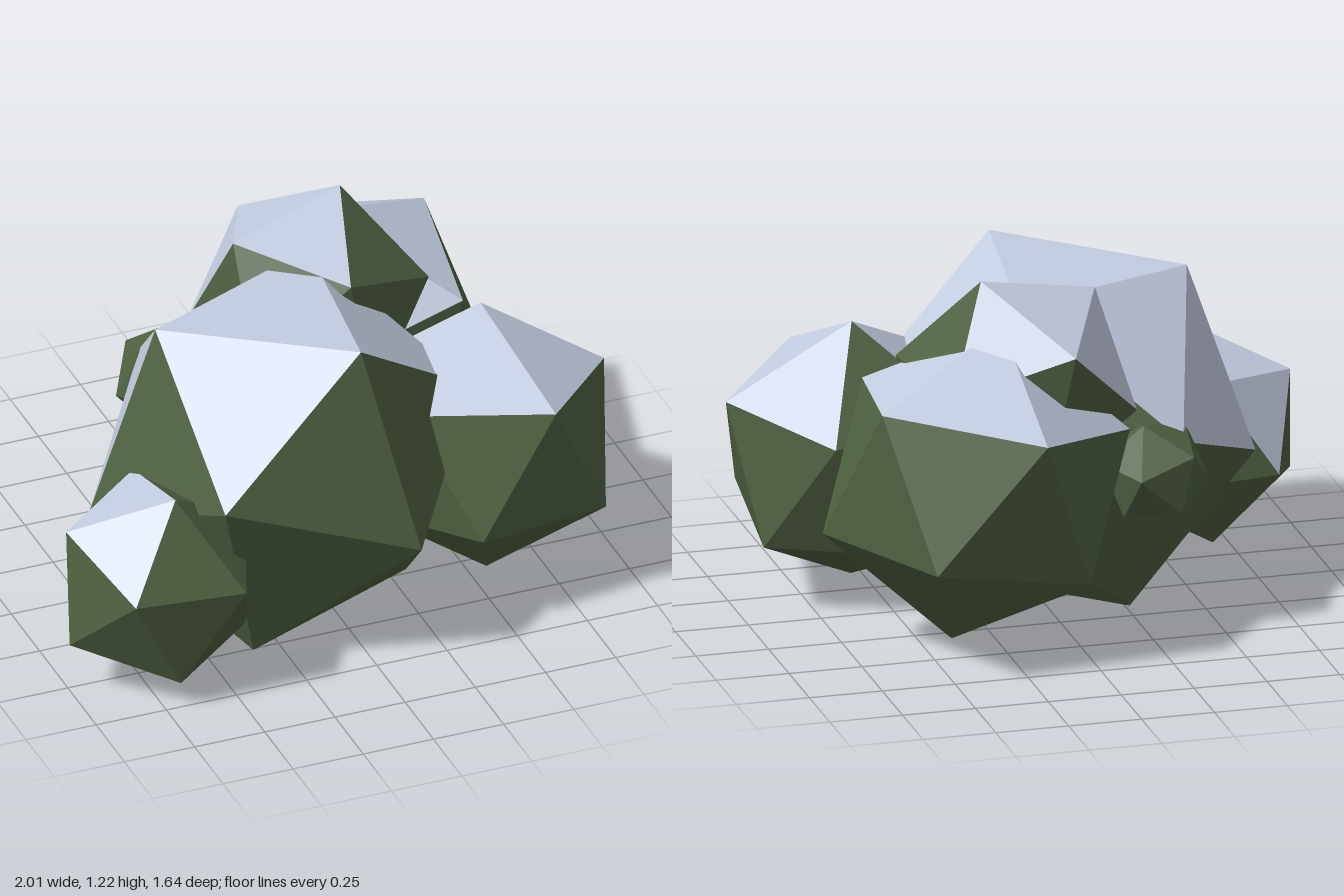
import * as THREE from 'three';

const foliage = new THREE.MeshStandardMaterial({ color: 0x506141 });
foliage.name = 'foliage green';
const snow = new THREE.MeshStandardMaterial({ color: 0xc3cce0 });
snow.name = 'snow';

// Regular 20-sided clump, placed by its centre, one corner (apex) and a corner next to it.
// Caps are the five faces round the apex; belts are the faces across each cap's far edge.
function clump({ name, center, apex, next, caps = [], belts = [] }) {
  const c = new THREE.Vector3(...center);
  const Y = new THREE.Vector3(...apex).sub(c);
  const radius = Y.length();
  Y.normalize();
  const X = new THREE.Vector3(...next).sub(c);
  X.addScaledVector(Y, -X.dot(Y)).normalize();
  const Z = new THREE.Vector3().crossVectors(X, Y);

  const corner = (step, height) => {
    const a = step * Math.PI * 0.4;
    const r = Math.sqrt(1 - height * height) * radius;
    return new THREE.Vector3()
      .addScaledVector(X, Math.cos(a) * r)
      .addScaledVector(Y, height * radius)
      .addScaledVector(Z, Math.sin(a) * r);
  };
  const h = 1 / Math.sqrt(5);
  const top = corner(0, 1);
  const bottom = corner(0, -1);
  const green = [];
  const white = [];
  for (let k = 0; k < 5; k++) {
    const u0 = corner(k, h), u1 = corner(k + 1, h);
    const l0 = corner(k + 0.5, -h), l1 = corner(k + 1.5, -h);
    (caps.includes(k) ? white : green).push(top, u1, u0);
    (belts.includes(k) ? white : green).push(u0, u1, l0);
    green.push(l0, u1, l1, l0, l1, bottom);
  }

  const geometry = new THREE.BufferGeometry().setFromPoints([...green, ...white]);
  geometry.addGroup(0, green.length, 0);
  geometry.addGroup(green.length, white.length, 1);
  geometry.computeVertexNormals();
  const mesh = new THREE.Mesh(geometry, [foliage, snow]);
  mesh.name = name;
  mesh.position.copy(c);
  return mesh;
}

const clumps = [
  { name: 'mainClump', center: [-0.122, 0.559, 0.201], apex: [-0.54, 1.08, 0.13],
    next: [0.02, 1.11, 0.56], caps: [0, 2, 3, 4], belts: [4] },
  { name: 'leftClump', center: [0.572, 0.498, 0.271], apex: [0.59, 0.965, 0.2],
    next: [0.68, 0.765, 0.645], caps: [0, 1, 3, 4] },
  { name: 'topClump', center: [0.14, 0.847, -0.211], apex: [0.275, 1.23, -0.26],
    next: [0.16, 1.08, 0.125], caps: [0, 1, 2], belts: [1] },
  { name: 'backClump', center: [0.323, 0.574, -0.376], apex: [0.226, 1.1, -0.333],
    next: [0.69, 0.91, -0.565], caps: [0, 1, 2, 3, 4] },
  { name: 'rightClump', center: [-0.678, 0.361, 0.49], apex: [-0.98, 0.57, 0.435],
    next: [-0.66, 0.715, 0.6], caps: [0, 3, 4] },
  { name: 'smallBackClump', center: [-0.29, 0.555, -0.37], apex: [-0.387, 0.635, -0.511],
    next: [-0.238, 0.73, -0.42] },
];

export function createModel() {
  const group = new THREE.Group();
  group.name = 'snowyBush';
  for (const spec of clumps) group.add(clump(spec));
  return group;
}
